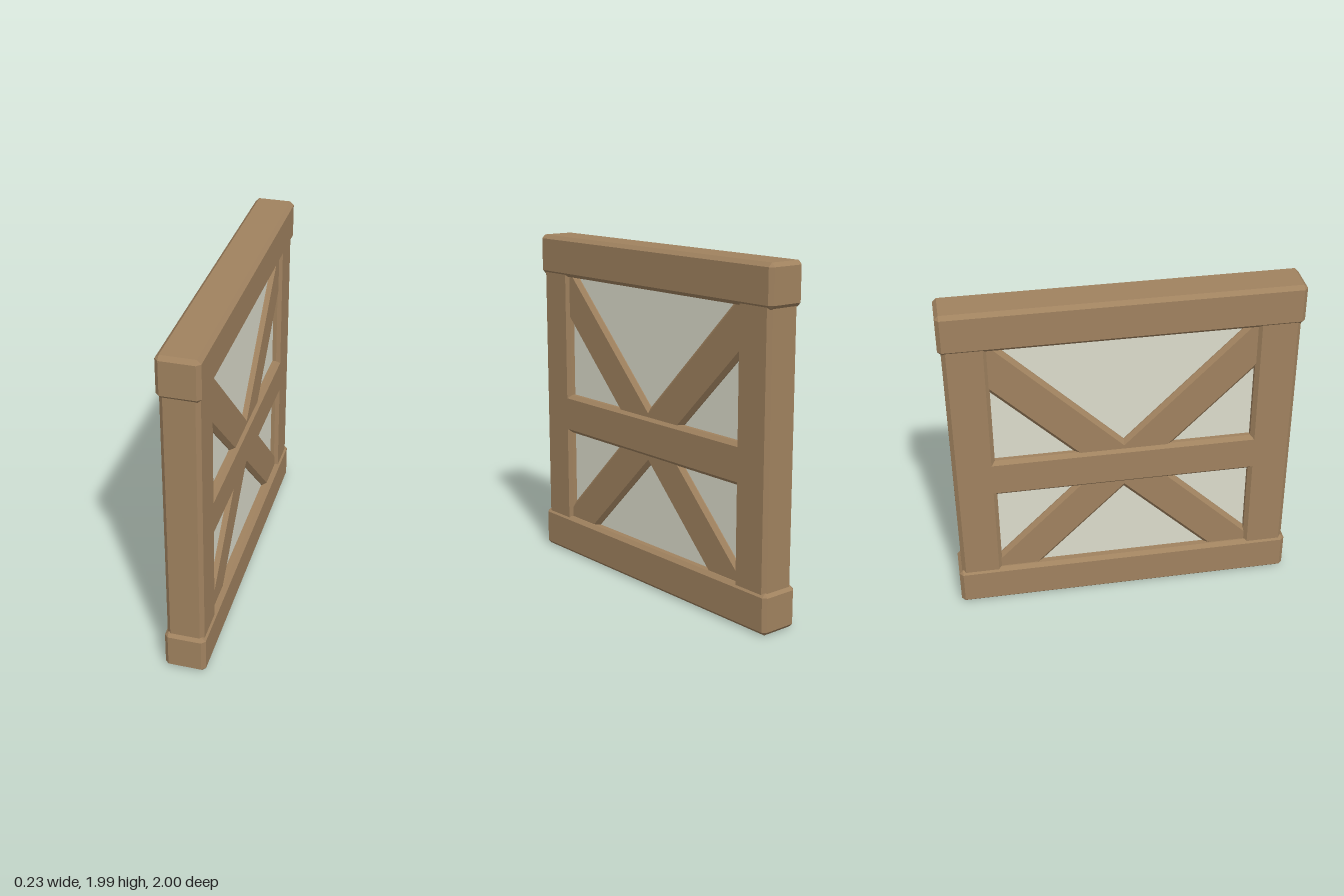
import * as THREE from 'three';
import { ConvexGeometry } from 'three/addons/geometries/ConvexGeometry.js';

const wood = new THREE.MeshStandardMaterial({ color: 0xa0825f, flatShading: true });
const pale = new THREE.MeshStandardMaterial({ color: 0xdcdccc });

// Box with every edge chamfered: three corner points at each of its eight corners
function chamferedBox(w, h, d, c = 0.022) {
  const points = [];
  for (const sx of [-1, 1]) for (const sy of [-1, 1]) for (const sz of [-1, 1]) {
    for (let axis = 0; axis < 3; axis++) {
      const inset = [c, c, c];
      inset[axis] = 0;
      points.push(new THREE.Vector3(
        sx * (w / 2 - inset[0]), sy * (h / 2 - inset[1]), sz * (d / 2 - inset[2])));
    }
  }
  return new ConvexGeometry(points);
}

export function createModel() {
  const model = new THREE.Group();
  const WIDTH = 0.238; // visible face width shared by all beams

  function beam(name, w, h, d, y, z) {
    const mesh = new THREE.Mesh(chamferedBox(w, h, d), wood);
    mesh.name = name;
    mesh.position.set(0, y, z);
    model.add(mesh);
    return mesh;
  }

  // Thick top and bottom beams
  beam('bottomBeam', 0.234, WIDTH, 2, WIDTH / 2, 0);
  beam('topBeam', 0.234, WIDTH, 2, 1.99 - WIDTH / 2, 0);

  // Upright posts, ends hidden inside the beams
  for (const s of [1, -1]) {
    beam(s > 0 ? 'frontPost' : 'backPost', 0.212, 1.8, 0.242, 0.995, s * 0.861);
  }

  // Middle rail, flush with the posts
  beam('middleRail', 0.212, WIDTH, 1.7, 0.902, 0);

  // Recessed diagonal braces crossing behind the rail
  for (const s of [1, -1]) {
    const brace = beam(s > 0 ? 'frontRisingBrace' : 'backRisingBrace',
      0.176, WIDTH, 2.26, 0.952, s * 0.05);
    brace.rotation.x = -s * Math.PI / 4;
  }

  // Pale infill panel
  const panel = new THREE.Mesh(new THREE.BoxGeometry(0.12, 1.7, 1.7), pale);
  panel.name = 'infillPanel';
  panel.position.y = 0.995;
  model.add(panel);

  return model;
}
